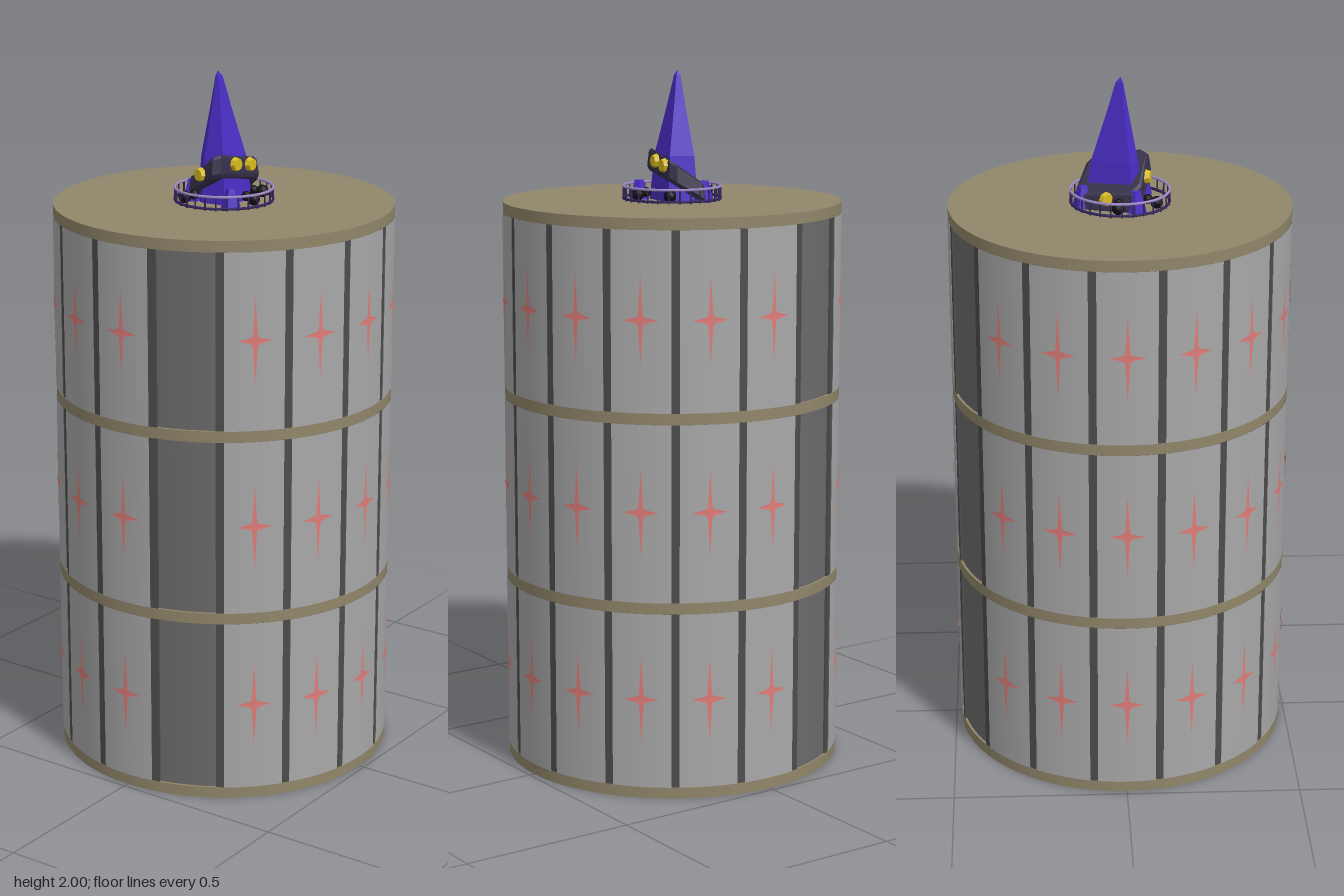
import * as THREE from 'three';

const R = 0.485, STEP = 0.533, BAND = 0.032, SECTORS = 16;
const GAPS = [1, 9]; // bays without a plate, on opposite sides

const mat = (color, extra = {}) => new THREE.MeshStandardMaterial({ color, ...extra });
const tan = mat(0x91866a), grey = mat(0xa8a8a8), darkGrey = mat(0x4c4c4c), wall = mat(0x6c6a6b);
const red = mat(0xe07c78, { side: THREE.DoubleSide });
const purple = mat(0x4a2cc4, { flatShading: true }), collarMat = mat(0x35304a, { flatShading: true });
const gold = mat(0xd8bc20, { flatShading: true }), black = mat(0x121014);
const lavender = mat(0xa08cc8), darkPurple = mat(0x35265e);

function add(parent, name, geometry, material, x = 0, y = 0, z = 0) {
  const m = new THREE.Mesh(geometry, material);
  m.name = name;
  m.position.set(x, y, z);
  parent.add(m);
  return m;
}

// Faceted solid through rings of [x, y, z] corners, listed counterclockwise from above
function loft(rings) {
  const out = [], n = rings[0].length;
  const mid = r => [0, 1, 2].map(k => r.reduce((s, p) => s + p[k], 0) / n);
  const bottom = mid(rings[0]), top = mid(rings[rings.length - 1]);
  for (let i = 0; i < n; i++) {
    const j = (i + 1) % n;
    for (let r = 0; r < rings.length - 1; r++) {
      const a = rings[r], b = rings[r + 1];
      out.push(...a[i], ...a[j], ...b[j], ...a[i], ...b[j], ...b[i]);
    }
    const t = rings[rings.length - 1];
    out.push(...rings[0][j], ...rings[0][i], ...bottom, ...t[i], ...t[j], ...top);
  }
  const g = new THREE.BufferGeometry();
  g.setAttribute('position', new THREE.Float32BufferAttribute(out, 3));
  g.computeVertexNormals();
  return g;
}

// Four-pointed star: a fan with uneven spokes, wrapped on the drum
function starGeometry() {
  const g = new THREE.CircleGeometry(1, 16), p = g.attributes.position;
  const spokes = [1, 0.32, 0.24, 0.32];
  for (let i = 1; i < p.count; i++) {
    const k = (i - 1) % 16, s = spokes[k % 4];
    const x = p.getX(i) * s * 0.05, y = p.getY(i) * s * (k % 8 === 4 ? 0.125 : 0.065);
    const a = x / R;
    p.setXYZ(i, Math.sin(a) * (R + 0.004), y, Math.cos(a) * (R + 0.004));
  }
  p.setXYZ(0, 0, 0, R + 0.004);
  g.computeVertexNormals();
  return g;
}

function makeDrum() {
  const drum = new THREE.Group();
  drum.name = 'drum';
  const slice = Math.PI * 2 / SECTORS;
  const height = STEP - BAND;
  const plate = new THREE.CylinderGeometry(R + 0.001, R + 0.001, height, 5, 1, true, -slice * 0.44, slice * 0.88);
  const post = new THREE.BoxGeometry(0.024, height, 0.016);
  const star = starGeometry();
  add(drum, 'innerWall', new THREE.CylinderGeometry(0.478, 0.478, STEP * 3, 64), wall, 0, STEP * 1.5 + BAND / 2, 0);

  for (let i = 0; i <= 3; i++) {
    add(drum, 'band', new THREE.CylinderGeometry(R, R, BAND, 64), tan, 0, i * STEP + BAND / 2, 0);
  }
  for (let level = 0; level < 3; level++) {
    const y = level * STEP + BAND + height / 2;
    for (let s = 0; s < SECTORS; s++) {
      const a = s * slice, edge = a + slice / 2;
      const p = add(drum, 'post', post, darkGrey, Math.sin(edge) * 0.476, y, Math.cos(edge) * 0.476);
      p.rotation.y = edge;
      if (GAPS.includes(s)) continue;
      add(drum, 'wallPlate', plate, grey, 0, y, 0).rotation.y = a;
      add(drum, 'starMark', star, red, 0, y + 0.005, 0).rotation.y = a;
    }
  }
  return drum;
}

function makeFence(floor) {
  const fence = new THREE.Group();
  fence.name = 'fence';
  const rail = new THREE.TorusGeometry(0.14, 0.004, 6, 48).rotateX(Math.PI / 2);
  add(fence, 'topRail', rail, lavender, 0, floor + 0.04, 0);
  add(fence, 'bottomRail', rail, darkPurple, 0, floor + 0.006, 0);
  const bar = new THREE.CylinderGeometry(0.0025, 0.0025, 0.04, 5);
  for (let i = 0; i < 28; i++) {
    const a = i / 28 * Math.PI * 2;
    add(fence, 'bar', bar, darkPurple, Math.sin(a) * 0.14, floor + 0.02, Math.cos(a) * 0.14);
  }
  return fence;
}

function makeCrystal(floor) {
  const group = new THREE.Group();
  group.name = 'crystal';

  // Main spire, leaning to its tip
  const base = [[-0.07, 0.03], [-0.035, 0.06], [0.04, 0.055], [0.055, -0.06], [-0.02, -0.1]];
  const tip = [-0.02, 0];
  const ring = (y, t) => base.map(([x, z]) => [x + (tip[0] - x) * t, y, z + (tip[1] - z) * t]);
  add(group, 'spire', loft([ring(floor, 0), ring(1.76, 0.18), ring(1.9, 0.62), ring(1.985, 0.87), ring(2, 1)]), purple);

  // Tilted collar around the spire
  const outline = [[-0.1, 0.03], [-0.08, 0.06], [0.02, 0.088], [0.038, 0.07],
    [0.065, -0.08], [0.05, -0.1], [-0.02, -0.13], [-0.055, -0.115]];
  const tilted = (drop, s) => outline.map(([x, z]) =>
    [x * s, 1.737 + 0.55 * x + 0.25 * z - drop, z * s]);
  add(group, 'collar', loft([tilted(0.062, 0.93), tilted(0.05, 1), tilted(0.008, 0.93), tilted(0, 0.84)]), collarMat);

  // Round studs on the collar faces
  for (const [x, y, z, turn] of [[0.052, 1.743, 0.012, 1.4], [0.062, 1.735, -0.045, 1.5],
    [-0.03, 1.715, 0.077, -0.25], [-0.078, 1.665, -0.04, -1.1]]) {
    const stud = new THREE.CylinderGeometry(0.017, 0.021, 0.014, 8).rotateX(Math.PI / 2);
    add(group, 'stud', stud, gold, x, y, z).rotation.y = turn;
  }

  // Small shards at the foot
  for (const [x, z, r, h] of [[0.07, 0.065, 0.03, 0.055], [-0.08, 0.04, 0.033, 0.06], [-0.035, -0.105, 0.032, 0.06]]) {
    const shard = add(group, 'shard', new THREE.CylinderGeometry(r * 0.45, r, h, 5), purple, x, floor + h / 2, z);
    shard.rotation.y = x * 20;
  }

  // Dark bulbs in pairs between spire and fence
  const bulb = new THREE.SphereGeometry(0.018, 10, 8);
  for (const [x, z] of [[0.11, 0.012], [-0.115, -0.01], [0.07, -0.09], [-0.065, 0.1]]) {
    add(group, 'bulb', bulb, black, x, floor + 0.02, z);
    add(group, 'smallBulb', bulb, black, x * 0.76, floor + 0.025, z * 0.76).scale.setScalar(0.8);
  }
  return group;
}

export function createModel() {
  const model = new THREE.Group();
  model.name = 'crystalTower';
  const floor = STEP * 3 + BAND;
  model.add(makeDrum(), makeFence(floor), makeCrystal(floor));
  return model;
}
